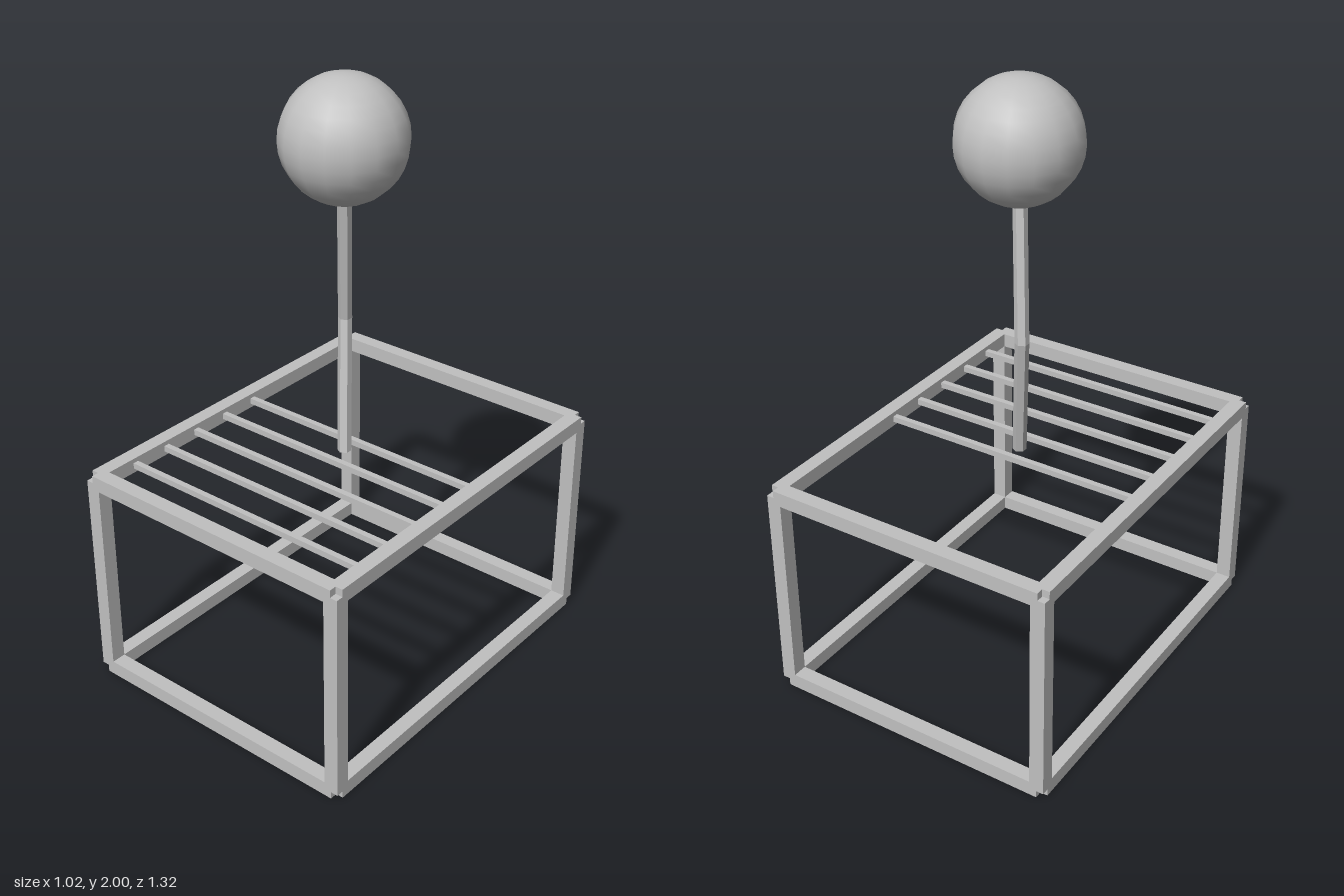
import * as THREE from 'three';

export function createModel() {
  const model = new THREE.Group();
  const grey = new THREE.MeshStandardMaterial({ color: 0xc0c0c0 });
  const W = 0.483, D = 0.633, LOW = 0.025, HIGH = 0.74, BAR = 0.05;

  const add = (name, geometry, x = 0, y = 0, z = 0) => {
    const mesh = new THREE.Mesh(geometry, grey);
    mesh.name = name;
    mesh.position.set(x, y, z);
    model.add(mesh);
  };
  const box = (name, w, h, d, x, y, z) => add(name, new THREE.BoxGeometry(w, h, d), x, y, z);

  // Open frame: bars meet at their centre lines, leaving small notched corners
  for (const s of [-1, 1]) {
    for (const y of [LOW, HIGH]) {
      box('crossBar', 2 * W, BAR, BAR, 0, y, s * D);
      box('sideBar', BAR, BAR, 2 * D, s * W, y, 0);
    }
    for (const t of [-1, 1]) box('cornerPost', BAR, HIGH - LOW, BAR, s * W, (LOW + HIGH) / 2, t * D);
  }

  // Thin slats across the front part of the top
  for (let i = 1; i <= 5; i++) box('slat', 2 * W, 0.02, 0.02, 0, HIGH, D - i * 0.139);

  // Six-sided pole with one bend, its rings moved to the path points
  const path = [[0, 1.72, 0], [-0.055, 1.175, -0.072], [0, HIGH, 0]];
  let pole = new THREE.CylinderGeometry(0.023, 0.023, 2, 6, 2);
  const p = pole.attributes.position;
  for (let i = 0; i < p.count; i++) {
    const [x, y, z] = path[1 - Math.round(p.getY(i))];
    p.setXYZ(i, p.getX(i) + x, y, p.getZ(i) + z);
  }
  pole = pole.toNonIndexed(); // flat facets
  pole.computeVertexNormals();
  add('bentPole', pole);

  // Ball on top
  add('ball', new THREE.SphereGeometry(0.2, 16, 16), 0, 1.8, 0);

  return model;
}
